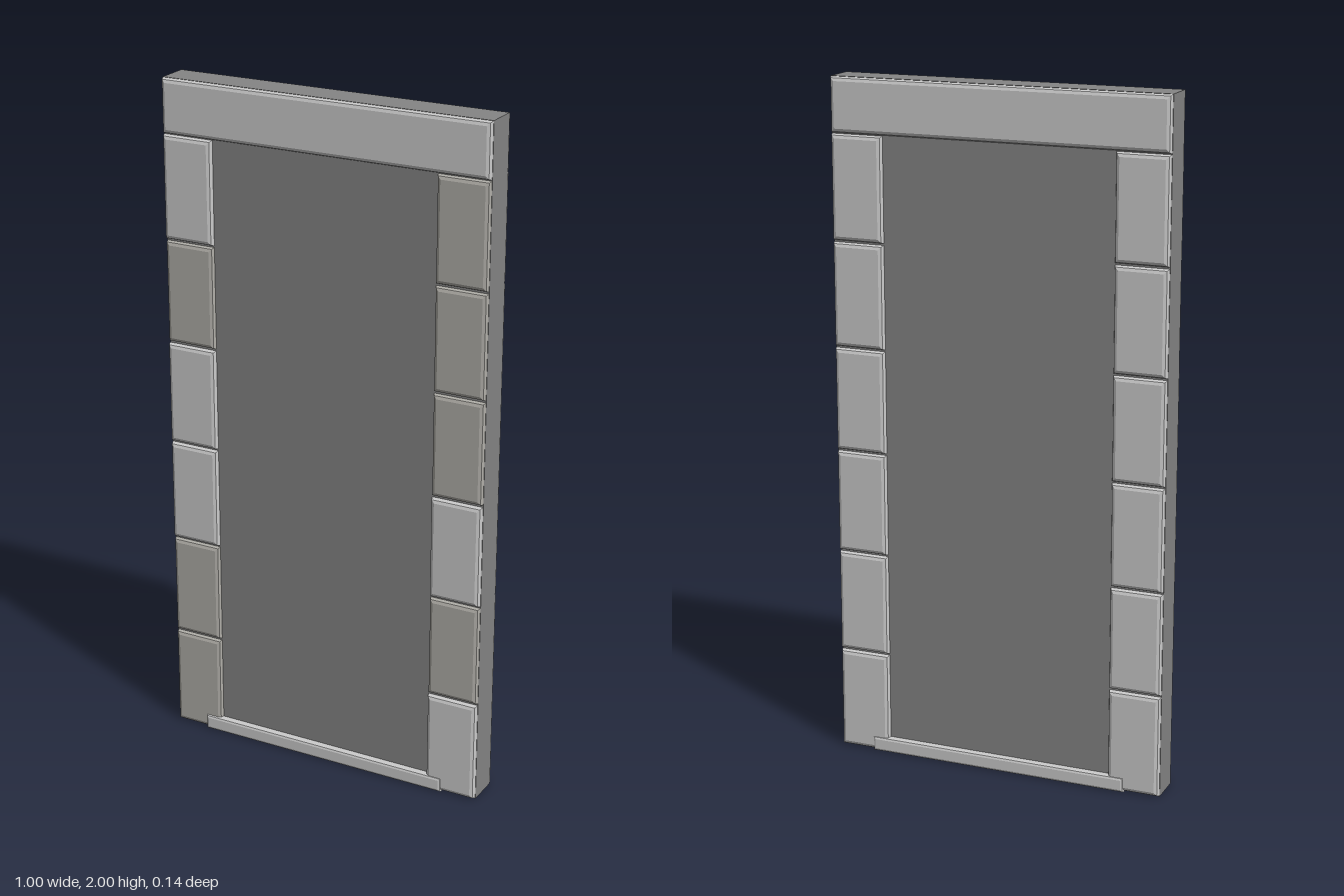
import * as THREE from 'three';

const stone = new THREE.MeshStandardMaterial({ color: 0xcccccc });
const wornStone = new THREE.MeshStandardMaterial({ color: 0xb0aea8 });
const darkPanel = new THREE.MeshStandardMaterial({ color: 0x858585 });

// Slab between two corners, rising from inside the core to z = front with a bevelled rim
function pad(x0, x1, y0, y1, front, material, name, bevel = 0.012) {
  const a = x0 + bevel, b = x1 - bevel, c = y0 + bevel, d = y1 - bevel;
  const shape = new THREE.Shape([
    new THREE.Vector2(a, c), new THREE.Vector2(b, c),
    new THREE.Vector2(b, d), new THREE.Vector2(a, d),
  ]);
  const back = 0.01;
  const geo = new THREE.ExtrudeGeometry(shape, {
    depth: front - back - 2 * bevel, bevelEnabled: true,
    bevelThickness: bevel, bevelSize: bevel, bevelSegments: 2,
  });
  geo.translate(0, 0, back + bevel);
  const mesh = new THREE.Mesh(geo, material);
  mesh.name = name;
  return mesh;
}

// One face of the frame: jamb blocks and lintel
function frameFace(name, wornLeft, wornRight) {
  const face = new THREE.Group();
  face.name = name;
  const rows = 6, pitch = 1.843 / rows, edge = 0.499, inner = 0.345;
  for (let i = 0; i < rows; i++) {
    const y0 = i * pitch + 0.003, y1 = (i + 1) * pitch - 0.003;
    for (const side of [-1, 1]) {
      const worn = (side > 0 ? wornLeft : wornRight).includes(i);
      const [x0, x1] = side > 0 ? [inner, edge] : [-edge, -inner];
      face.add(pad(x0, x1, y0, y1, worn ? 0.061 : 0.064,
        worn ? wornStone : stone, side > 0 ? 'leftJambBlock' : 'rightJambBlock'));
    }
  }
  face.add(pad(-edge, edge, 1.843, 1.999, 0.063, stone, 'lintel'));
  return face;
}

export function createModel() {
  const model = new THREE.Group();
  model.name = 'doorway';

  // Core slab, seen as the recessed panel and the outer edges
  const core = new THREE.Mesh(new THREE.BoxGeometry(1, 2, 0.096), darkPanel);
  core.name = 'panel';
  core.position.y = 1;
  model.add(core);

  // Front and back stonework
  model.add(frameFace('frontFrame', [1, 3, 4, 5], [0, 1, 4]));
  const back = frameFace('backFrame', [], []);
  back.rotation.y = Math.PI;
  model.add(back);

  // Thin threshold standing slightly proud of both faces
  for (const turn of [0, Math.PI]) {
    const sill = pad(-0.395, 0.395, 0, 0.045, 0.068, stone, 'threshold', 0.008);
    sill.rotation.y = turn;
    model.add(sill);
  }
  return model;
}
